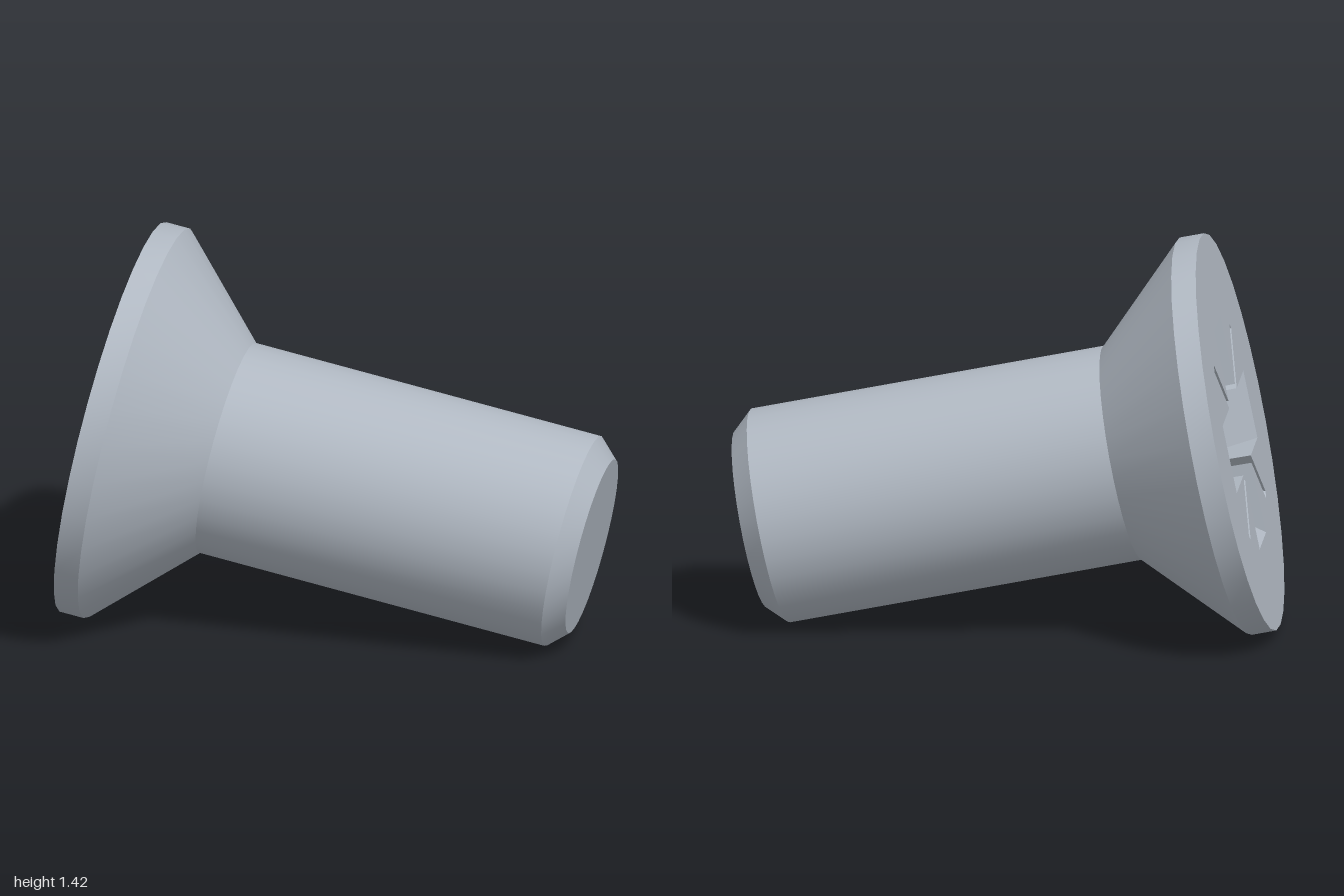
import * as THREE from 'three';
import { toCreasedNormals } from 'three/addons/utils/BufferGeometryUtils.js';

const HEAD_R = 0.717, SEGMENTS = 32;

// Cross-shaped socket outline with a thin slot in each corner, counter-clockwise.
function socketOutline(wingLength, wingHalf, slotTip) {
  const t = 0.011; // slot half width along each axis
  const quarter = [
    [wingLength, -wingHalf], [wingLength, wingHalf],
    [wingHalf + 2 * t, wingHalf], [slotTip + t, slotTip - t],
    [slotTip - t, slotTip + t], [wingHalf, wingHalf + 2 * t],
  ];
  const points = [];
  for (let k = 0; k < 4; k++) {
    const c = [1, 0, -1, 0][k], s = [0, 1, 0, -1][k];
    for (const [x, y] of quarter) points.push(new THREE.Vector2(c * x - s * y, s * x + c * y));
  }
  return points;
}

// Socket walls between two outlines, closed by a pointed bottom.
function socketGeometry(top, bottom, depth, apexDepth) {
  const pos = [];
  const add = (p, z) => pos.push(p.x, p.y, z);
  const centre = new THREE.Vector2();
  top.forEach((p, i) => {
    const j = (i + 1) % top.length;
    add(p, 0); add(bottom[i], depth); add(top[j], 0);
    add(top[j], 0); add(bottom[i], depth); add(bottom[j], depth);
    add(bottom[j], depth); add(bottom[i], depth); add(centre, apexDepth);
  });
  const geometry = new THREE.BufferGeometry();
  geometry.setAttribute('position', new THREE.Float32BufferAttribute(pos, 3));
  geometry.computeVertexNormals();
  return geometry;
}

export function createModel() {
  const steel = new THREE.MeshStandardMaterial({ color: 0xb0b8c2 });
  steel.name = 'steel grey';

  const model = new THREE.Group();
  model.name = 'countersunkScrew';
  const screw = new THREE.Group();
  screw.name = 'screw';
  model.add(screw);
  const part = (name, geometry) => {
    const mesh = new THREE.Mesh(geometry, steel);
    mesh.name = name;
    screw.add(mesh);
  };

  // Turned parts: radius and distance along the axis
  const turned = (profile) => {
    const g = new THREE.LatheGeometry(profile.map(([r, z]) => new THREE.Vector2(r, z)), SEGMENTS);
    return toCreasedNormals(g.rotateX(Math.PI / 2), 0.5);
  };
  part('head', turned([[HEAD_R, 0], [HEAD_R, 0.089], [0.386, 0.425]]));
  part('shank', turned([[0.386, 0.425], [0.386, 1.708], [0.32, 1.778], [0, 1.778]]));

  // Flat head face with the socket opening
  const opening = socketOutline(0.405, 0.125, 0.315);
  const rim = Array.from({ length: SEGMENTS }, (_, i) => {
    const a = (i / SEGMENTS) * Math.PI * 2;
    return new THREE.Vector2(HEAD_R * Math.cos(a), HEAD_R * Math.sin(a));
  });
  const face = new THREE.Shape(rim);
  face.holes.push(new THREE.Path(opening));
  part('headFace', new THREE.ShapeGeometry(face).rotateY(Math.PI));

  // Driver socket
  part('driverSocket', socketGeometry(opening, socketOutline(0.27, 0.122, 0.2), 0.19, 0.35));

  // Tilt the screw: its axis is local z, local y stays upright
  const axis = new THREE.Vector3(1, -0.21, 0.21).normalize();
  const side = new THREE.Vector3(0, 1, 0).cross(axis).normalize();
  const up = axis.clone().cross(side);
  screw.quaternion.setFromRotationMatrix(new THREE.Matrix4().makeBasis(side, up, axis));
  screw.position.set(-0.797, 0.724, -0.012);
  return model;
}
